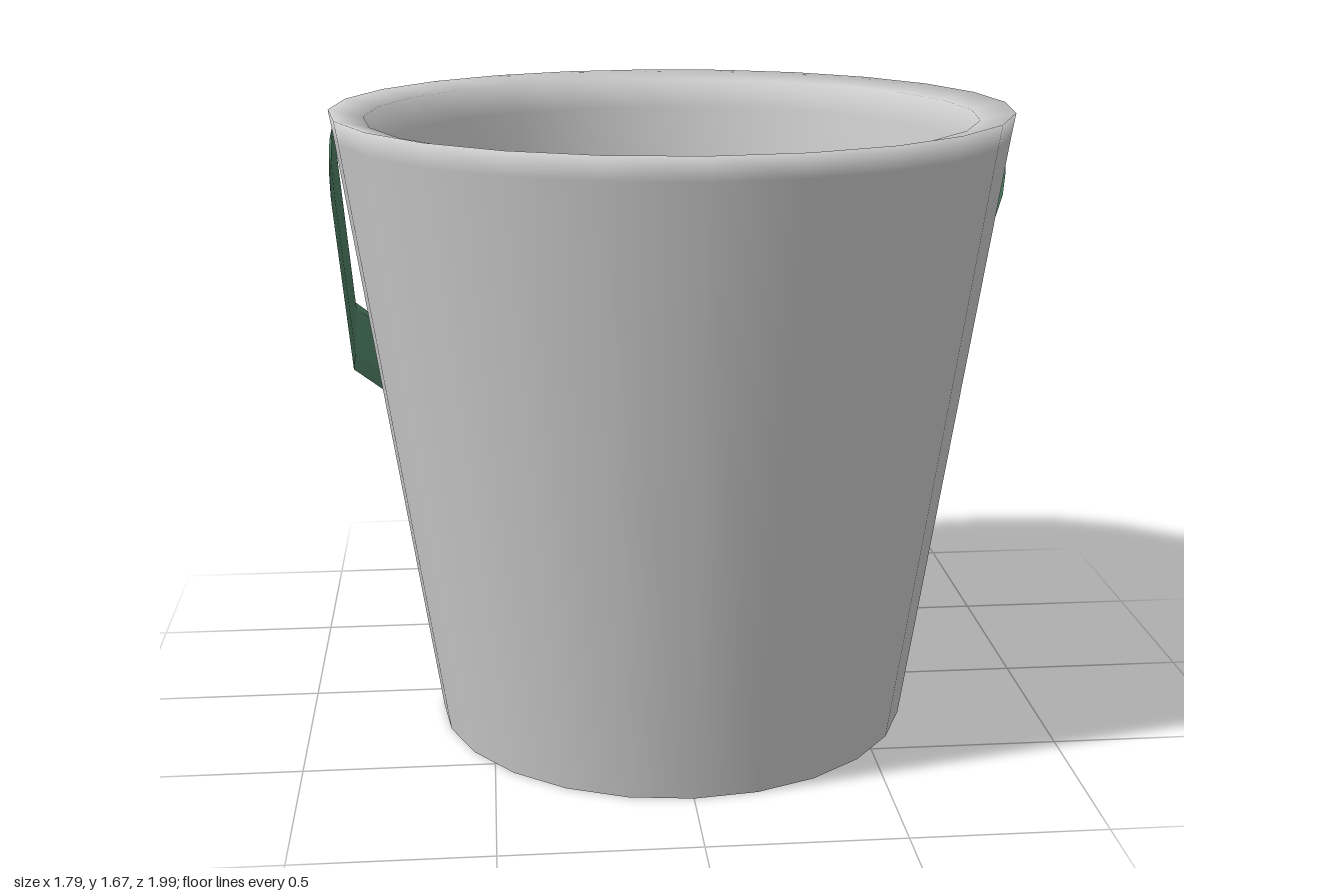
import * as THREE from 'three';

const SEGMENTS = 24;
const BUCKET_Z = 0.105;

function lathe(points) {
  return new THREE.LatheGeometry(points.map(([r, y]) => new THREE.Vector2(r, y)), SEGMENTS);
}

// Swings a handle point (x, reach along the handle, offset across the strap) into its tilted plane.
function tilt(x, reach, across) {
  const w = across - 1.0;
  return [x, -0.73 * reach - 0.68 * w, -0.68 * reach + 0.73 * w];
}

function handleGeometry() {
  // Half path from the middle to the end: [edge, outer, inner] as (x, reach), then width scale.
  const half = [
    { e: [0, 0.24], o: [0, 0.29], i: [0, 0.215], s: 0.97 },
    { e: [0.405, 0.26], o: [0.42, 0.30], i: [0.4, 0.22], s: 1 },
    { e: [0.53, 0.19], o: [0.56, 0.23], i: [0.515, 0.16], s: 1 },
    { e: [0.889, -0.335], o: [0.894, -0.30], i: [0.883, -0.36], s: 1 },
    { e: [0.889, -1.13], o: [0.894, -1.13], i: [0.883, -1.13], s: 1 },
    { e: [0.889, -1.19], o: [0.893, -1.19], i: [0.884, -1.19], s: 0.75 },
    { e: [0.889, -1.215], o: [0.892, -1.215], i: [0.885, -1.215], s: 0.35 },
  ];
  const mirrored = half.slice(1).reverse().map(({ e, o, i, s }) => ({
    e: [-e[0], e[1]], o: [-o[0], o[1]], i: [-i[0], i[1]], s,
  }));
  const stations = [...mirrored, ...half];

  // Rounded outside, flat inside.
  const rings = stations.map(({ e, o, i, s }) => {
    const m = [0, 1].map((k) => e[k] * 0.3 + o[k] * 0.7);
    return [[e, -0.12], [m, -0.09], [o, 0], [m, 0.09], [e, 0.12], [i, 0.08], [i, -0.08]]
      .map(([p, w]) => tilt(p[0], p[1], w * s));
  });

  const n = rings[0].length;
  const positions = rings.flat(2);
  const index = [];
  for (let r = 0; r < rings.length - 1; r++) {
    for (let j = 0; j < n; j++) {
      const k = (j + 1) % n;
      const a = r * n + j, b = r * n + k, c = b + n, d = a + n;
      index.push(a, c, b, a, d, c);
    }
  }
  // End caps
  const last = (rings.length - 1) * n;
  for (let j = 1; j < n - 1; j++) {
    index.push(0, j, j + 1, last, last + j + 1, last + j);
  }
  const geometry = new THREE.BufferGeometry();
  geometry.setAttribute('position', new THREE.Float32BufferAttribute(positions, 3));
  geometry.setIndex(index);
  const faceted = geometry.toNonIndexed();
  faceted.computeVertexNormals();
  return faceted;
}

export function createModel() {
  const model = new THREE.Group();
  model.name = 'bucketOfWater';
  const grey = new THREE.MeshStandardMaterial({ color: 0xcccccc });
  const green = new THREE.MeshStandardMaterial({ color: 0x4d7d62, flatShading: true });
  const blue = new THREE.MeshStandardMaterial({ color: 0x4a8fc4 });

  const add = (name, geometry, material, parent) => {
    const mesh = new THREE.Mesh(geometry, material);
    mesh.name = name;
    parent.add(mesh);
    return mesh;
  };

  const bucket = new THREE.Group();
  bucket.name = 'bucket';
  bucket.position.z = BUCKET_Z;
  model.add(bucket);

  // Outer wall, softened rim and inner wall in one smooth profile
  add('wall', lathe([
    [0.64, 0], [0.88, 1.61], [0.89, 1.67], [0.8, 1.65], [0.78, 1.57], [0.73, 1.27], [0.56, 0.1],
  ]), grey, bucket);

  const base = add('base', new THREE.CircleGeometry(0.64, SEGMENTS), grey, bucket);
  base.rotation.x = Math.PI / 2;

  const floor = add('innerFloor', new THREE.CircleGeometry(0.56, SEGMENTS), grey, bucket);
  floor.rotation.x = -Math.PI / 2;
  floor.position.y = 0.1;

  const water = add('water', new THREE.CircleGeometry(0.73, SEGMENTS), blue, bucket);
  water.rotation.x = -Math.PI / 2;
  water.position.y = 1.27;

  // Carrying handle, swung down behind the bucket
  add('handle', handleGeometry(), green, model);

  return model;
}
